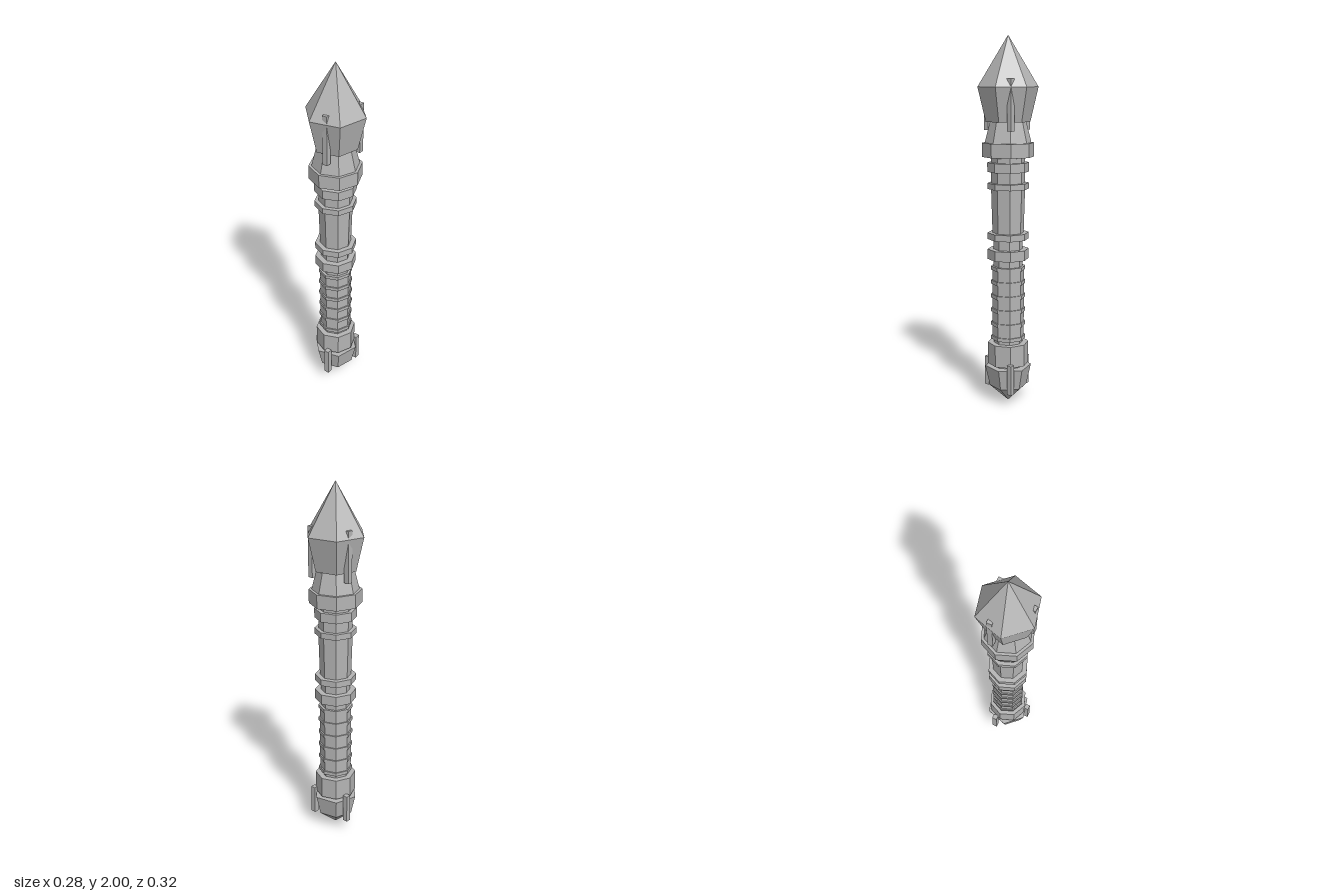
import * as THREE from 'three';

export function createModel() {
  const model = new THREE.Group();
  model.name = 'hilt';
  const grey = new THREE.MeshStandardMaterial({ color: 0xb4b4b4, flatShading: true });
  grey.name = 'grey';

  // Faceted section between two heights
  function section(name, sides, y0, y1, r0, r1 = r0, x = 0, z = 0) {
    const mesh = new THREE.Mesh(new THREE.CylinderGeometry(r1, r0, y1 - y0, sides), grey);
    mesh.name = name;
    mesh.position.set(x, (y0 + y1) / 2, z);
    model.add(mesh);
  }

  // Six-sided pommel
  section('pommelTip', 6, 0, 0.09, 0, 0.102);
  section('pommelCup', 6, 0.09, 0.205, 0.102, 0.128);

  // Eight-sided core and grip
  section('core', 8, 0.15, 1.4, 0.08);
  section('grip', 8, 0.36, 0.765, 0.087);
  for (let i = 0; i < 6; i++) {
    const y = 0.36 + i * 0.078;
    section('gripRib', 8, y, y + 0.02, 0.094);
  }

  // Upper shaft, slightly flared
  section('shaft', 8, 0.955, 1.2, 0.085, 0.092);
  section('upperShaft', 8, 1.22, 1.36, 0.091);

  // Raised rings
  const rings = [
    [0.22, 0.34, 0.112],
    [0.81, 0.865, 0.112],
    [0.92, 0.955, 0.112],
    [1.193, 1.225, 0.112],
    [1.285, 1.335, 0.112],
    [1.365, 1.44, 0.14],
  ];
  for (const [y0, y1, r] of rings) section('ring', 8, y0, y1, r);
  section('collar', 8, 1.44, 1.55, 0.125, 0.097);

  // Six-sided crystal head
  section('crystalBase', 6, 1.55, 1.733, 0.119, 0.162);
  section('crystalPoint', 6, 1.733, 2, 0.162, 0);

  // Three square prongs around the crystal and the pommel
  for (let i = 0; i < 3; i++) {
    const a = (i * Math.PI * 2) / 3;
    const x = 0.12 * Math.cos(a), z = 0.12 * Math.sin(a);
    section('crystalProng', 4, 1.505, 1.775, 0.02, 0.02, x, z);
    section('pommelProng', 4, 0.075, 0.24, 0.02, 0.02, x, z);
  }
  return model;
}
